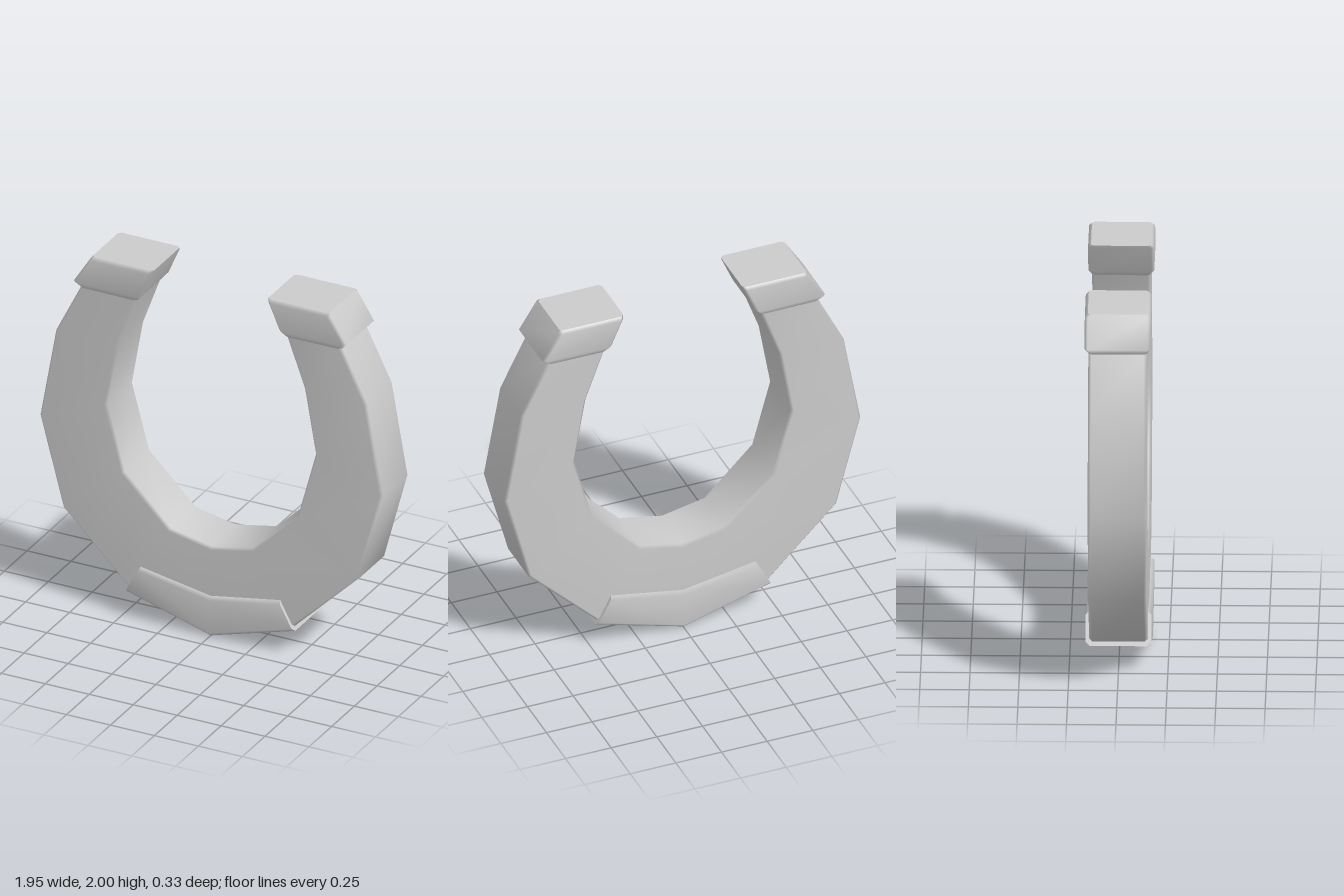
import * as THREE from 'three';

// A station is [outerX, outerY, innerX, innerY, halfDepth].
const mirror = (stations) => stations.map(([ox, oy, ix, iy, h]) => [-ox, oy, -ix, iy, h]).reverse();

// Chamfered rectangular section between the outer and inner edge points
function section([ox, oy, ix, iy, h], b) {
  const o = new THREE.Vector2(ox, oy);
  const i = new THREE.Vector2(ix, iy);
  const u = i.clone().sub(o).normalize().multiplyScalar(b);
  const ob = o.clone().add(u);
  const ib = i.clone().sub(u);
  return [[ob, h], [o, h - b], [o, b - h], [ob, -h], [ib, -h], [i, b - h], [i, h - b], [ib, h]]
    .map(([p, z]) => [p.x, p.y, z]);
}

// Skin the stations in order and close both ends with flat caps
function sweep(name, stations, bevel, material) {
  const rings = stations.map((s) => section(s, bevel));
  const n = 8;
  const last = rings.length - 1;
  const position = rings.flat(2);
  const index = [];
  for (let s = 0; s < last; s++) {
    for (let k = 0; k < n; k++) {
      const a = s * n + k;
      const b = s * n + (k + 1) % n;
      index.push(a, a + n, b, b, a + n, b + n);
    }
  }
  for (const ring of [rings[0], [...rings[last]].reverse()]) {
    const base = position.length / 3;
    position.push(...ring.flat());
    for (let k = 1; k < n - 1; k++) index.push(base, base + k, base + k + 1);
  }
  const geometry = new THREE.BufferGeometry();
  geometry.setAttribute('position', new THREE.Float32BufferAttribute(position, 3));
  geometry.setIndex(index);
  geometry.computeVertexNormals();
  const mesh = new THREE.Mesh(geometry, material);
  mesh.name = name;
  return mesh;
}

export function createModel() {
  const group = new THREE.Group();
  group.name = 'horseshoe';
  const material = new THREE.MeshStandardMaterial({ color: 0xcccccc });

  // Curved U-shaped bar, from the left tip down to the middle of the toe
  const halfBar = [
    [0.74, 1.815, 0.425, 1.815, 0.148],
    [0.885, 1.525, 0.53, 1.53, 0.148],
    [0.975, 1.02, 0.593, 1.17, 0.148],
    [0.842, 0.525, 0.495, 0.81, 0.148],
    [0.472, 0.162, 0.233, 0.55, 0.148],
  ];
  const toe = [0, 0.025, 0, 0.503, 0.148];
  group.add(sweep('bar', [...halfBar, toe, ...mirror(halfBar)], 0.015, material));

  // Flared heel blocks on both tips
  const heel = [
    [0.675, 2, 0.325, 2, 0.152],
    [0.684, 1.985, 0.331, 1.985, 0.167],
    [0.775, 1.842, 0.395, 1.838, 0.167],
    [0.742, 1.808, 0.422, 1.806, 0.148],
  ];
  group.add(sweep('leftHeel', heel, 0.015, material));
  group.add(sweep('rightHeel', mirror(heel), 0.015, material));

  // Raised clip wrapped around the outer edge of the toe
  const clipEnd = [[0.48, 0.14, 0.395, 0.3, 0.167]];
  const clipMiddle = [0, 0, 0, 0.23, 0.167];
  group.add(sweep('toeClip', [...clipEnd, clipMiddle, ...mirror(clipEnd)], 0.022, material));

  return group;
}
